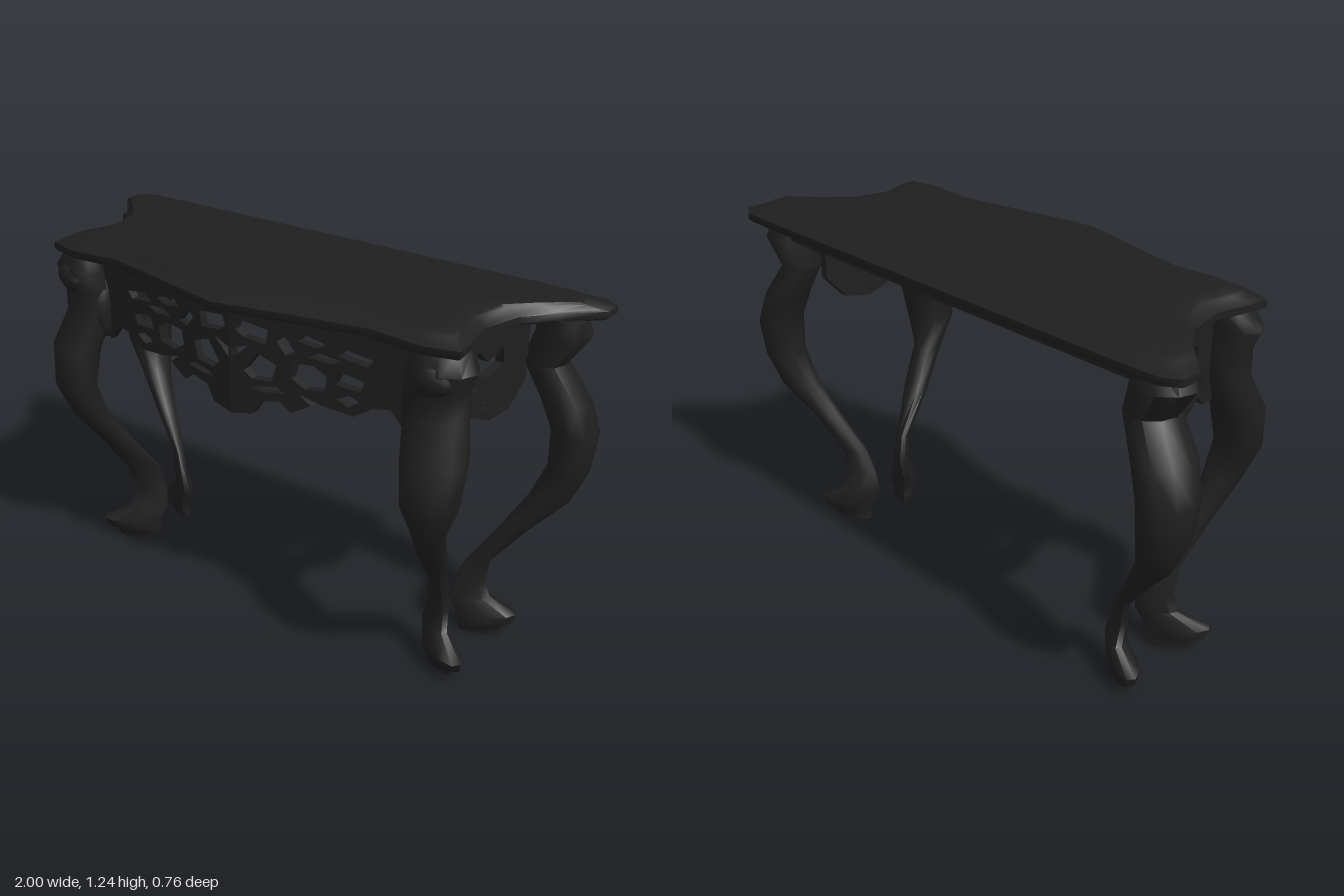
import * as THREE from 'three';
import { toCreasedNormals } from 'three/addons/utils/BufferGeometryUtils.js';

// Skin closed rings, listed bottom to top and each running from +x towards +z
function loft(rings, crease) {
  const n = rings[0].length, pos = rings.flat(2), idx = [];
  for (let r = 0; r < rings.length - 1; r++) {
    for (let i = 0; i < n; i++) {
      const a = r * n + i, b = r * n + (i + 1) % n;
      idx.push(a, a + n, b, b, a + n, b + n);
    }
  }
  const cap = (ring, start, up) => {
    const c = pos.length / 3;
    pos.push(ring.reduce((s, p) => s + p[0], 0) / n, ring[0][1], ring.reduce((s, p) => s + p[2], 0) / n);
    for (let i = 0; i < n; i++) {
      const a = start + i, b = start + (i + 1) % n;
      if (up) idx.push(c, b, a); else idx.push(c, a, b);
    }
  };
  cap(rings[0], 0, false);
  cap(rings[rings.length - 1], (rings.length - 1) * n, true);
  const g = new THREE.BufferGeometry();
  g.setAttribute('position', new THREE.Float32BufferAttribute(pos, 3));
  g.setIndex(idx);
  return toCreasedNormals(g, crease);
}

// Leg from [y, xMin, xMax, zMin, zMax] rows: feet point to the corner (dir +1 front, -1 back), knees spread across it
function legGeometry(rows, dir) {
  return loft(rows.map(([y, x0, x1, z0, z1]) => Array.from({ length: 10 }, (_, i) => {
    const a = i / 10 * Math.PI * 2;
    const turn = y < 0.35 ? 0.85 : y < 0.6 ? 1.35 : 1.75;
    const lean = dir > 0 ? turn : Math.PI - turn;
    return [(x0 + x1) / 2 + (x1 - x0) / 2 * Math.cos(a), y, (z0 + z1) / 2 + (z1 - z0) / 2 * Math.cos(a - lean)];
  })), 0.9);
}

// Pierced board cut from an outline and a list of holes
function pierced(outline, holes) {
  const toPoints = (list) => list.map(([x, y]) => new THREE.Vector2(x, y));
  const shape = new THREE.Shape(toPoints(outline));
  holes.forEach((h) => shape.holes.push(new THREE.Path(toPoints(h))));
  return new THREE.ExtrudeGeometry(shape, { depth: 0.03, bevelEnabled: false });
}

// Slant a board so that its depth changes along its length
function slant(g, offset, slope) {
  const p = g.attributes.position;
  for (let i = 0; i < p.count; i++) p.setZ(i, p.getZ(i) + offset + slope * p.getX(i));
  g.computeVertexNormals();
  return g;
}

export function createModel() {
  const model = new THREE.Group();
  const wood = new THREE.MeshStandardMaterial({ color: 0x1f1f1f });
  wood.name = 'blackWood';
  const add = (parent, name, geometry) => {
    const m = new THREE.Mesh(geometry, wood);
    m.name = name;
    parent.add(m);
    return m;
  };

  // Table top: serpentine outline stacked as a softly stepped moulding
  const half = [[0.83, -0.385], [0.94, -0.38], [0.99, -0.345], [0.99, -0.28], [0.89, -0.18], [0.805, -0.08],
    [0.77, 0.07], [0.8, 0.19], [0.81, 0.26], [0.7, 0.29], [0.51, 0.27], [0.36, 0.3]];
  const outline = [[0, -0.385], ...half, [0, 0.38], ...half.map(([x, z]) => [-x, z]).reverse()];
  const tiers = [[1.175, 0.99, 0.99], [1.18, 1, 1], [1.203, 1, 1], [1.208, 0.985, 0.96],
    [1.225, 0.945, 0.85], [1.234, 0.93, 0.81], [1.235, 0.85, 0.72]];
  add(model, 'tableTop', loft(tiers.map(([y, sx, sz]) => outline.map(([x, z]) => [x * sx, y, z * sz])), 0.9));

  // Shallow rail under the back edge
  add(model, 'backRail', new THREE.BoxGeometry(1.6, 0.055, 0.03)).position.set(0, 1.15, -0.3);

  const frontLeg = legGeometry([
    [0, 0.61, 0.75, 0, 0.1], [0.03, 0.6, 0.76, 0, 0.11], [0.04, 0.6, 0.79, 0, 0.13], [0.075, 0.6, 0.8, 0, 0.145],
    [0.13, 0.58, 0.71, -0.015, 0.08], [0.2, 0.59, 0.7, -0.025, 0.06], [0.3, 0.605, 0.7, 0, 0.09],
    [0.44, 0.63, 0.74, 0.09, 0.185], [0.58, 0.66, 0.78, 0.175, 0.29], [0.7, 0.655, 0.83, 0.195, 0.345],
    [0.84, 0.64, 0.84, 0.165, 0.34], [0.96, 0.61, 0.81, 0.13, 0.28], [1.05, 0.61, 0.81, 0.13, 0.28],
    [1.12, 0.62, 0.835, 0.13, 0.3], [1.18, 0.63, 0.8, 0.13, 0.275]], 1);
  const backLeg = legGeometry([
    [0, 0.62, 0.75, -0.23, -0.15], [0.03, 0.62, 0.76, -0.24, -0.14], [0.04, 0.62, 0.79, -0.26, -0.14],
    [0.075, 0.61, 0.8, -0.27, -0.13], [0.13, 0.59, 0.71, -0.23, -0.12], [0.2, 0.61, 0.7, -0.2, -0.125],
    [0.28, 0.64, 0.71, -0.21, -0.14], [0.42, 0.73, 0.82, -0.26, -0.175], [0.54, 0.8, 0.93, -0.33, -0.205],
    [0.66, 0.84, 0.985, -0.37, -0.21], [0.79, 0.84, 1, -0.385, -0.2], [0.9, 0.8, 0.97, -0.37, -0.18],
    [1.02, 0.74, 0.89, -0.335, -0.17], [1.12, 0.77, 0.96, -0.355, -0.17], [1.18, 0.77, 0.94, -0.33, -0.17]], -1);

  // Half of the pierced front apron
  const frontApron = slant(pierced(
    [[0, 0.8], [0.08, 0.815], [0.11, 0.865], [0.18, 0.88], [0.22, 0.85], [0.29, 0.89], [0.25, 0.92], [0.33, 0.9],
      [0.44, 0.89], [0.5, 0.93], [0.56, 0.94], [0.61, 0.88], [0.66, 0.93], [0.66, 1.18], [0, 1.18]],
    [
      [[0.02, 1.09], [0.05, 1.07], [0.13, 1.06], [0.14, 1.11], [0.03, 1.125]],
      [[0.05, 0.96], [0.08, 0.935], [0.15, 0.94], [0.17, 1.0], [0.1, 1.025]],
      [[0.005, 0.99], [0.035, 1.015], [0.07, 1.045], [0.005, 1.025]],
      [[0.22, 0.97], [0.27, 0.94], [0.34, 0.95], [0.345, 1.0], [0.3, 1.025], [0.23, 1.02]],
      [[0.17, 1.08], [0.2, 1.04], [0.24, 1.05], [0.2, 1.1]],
      [[0.24, 1.095], [0.31, 1.085], [0.35, 1.1], [0.27, 1.12]],
      [[0.28, 1.05], [0.36, 1.045], [0.4, 1.06], [0.32, 1.07]],
      [[0.38, 1.075], [0.48, 1.06], [0.5, 1.085], [0.41, 1.1]],
      [[0.37, 0.98], [0.46, 0.975], [0.47, 1.01], [0.39, 1.025]],
      [[0.38, 0.935], [0.42, 0.915], [0.46, 0.94], [0.42, 0.955]],
      [[0.08, 0.9], [0.13, 0.9], [0.2, 0.91], [0.17, 0.925], [0.1, 0.915]],
    ]), 0.26, -0.13);

  // Pierced side apron, turned to run front to back
  const sideApron = slant(pierced(
    [[-0.18, 0.87], [-0.1, 0.88], [-0.07, 0.915], [-0.02, 0.89], [0.04, 0.865], [0.13, 0.88], [0.2, 0.96], [0.2, 1.175], [-0.18, 1.175]],
    [
      [[-0.05, 1.085], [-0.02, 1.105], [0.02, 1.065], [0.085, 1.095], [0.093, 1.04], [0.02, 1.015], [-0.045, 1.035]],
      [[-0.05, 0.99], [-0.03, 0.98], [0, 0.985], [-0.03, 0.995]],
      [[0.04, 0.985], [0.08, 0.975], [0.09, 0.99]],
      [[-0.02, 0.915], [0.04, 0.91], [0.03, 0.92], [-0.01, 0.922]],
    ]), 0.71, 0.2);
  sideApron.rotateY(Math.PI / 2);

  // Rounded carvings on the front leg shoulders
  const boss = new THREE.SphereGeometry(1, 10, 7);
  const addBoss = (parent, name, p, s) => {
    const m = add(parent, name, boss);
    m.position.set(...p);
    m.scale.set(...s);
  };

  for (const [side, sign] of [['left', 1], ['right', -1]]) {
    const g = new THREE.Group();
    g.name = side + 'Half';
    g.scale.x = sign;
    add(g, side + 'FrontLeg', frontLeg);
    add(g, side + 'BackLeg', backLeg);
    add(g, side + 'FrontApron', frontApron);
    add(g, side + 'SideApron', sideApron);
    addBoss(g, side + 'ShoulderBoss', [0.72, 1.1, 0.245], [0.075, 0.06, 0.06]);
    addBoss(g, side + 'ShoulderLeaf', [0.635, 0.99, 0.2], [0.035, 0.11, 0.06]);
    model.add(g);
  }
  return model;
}
